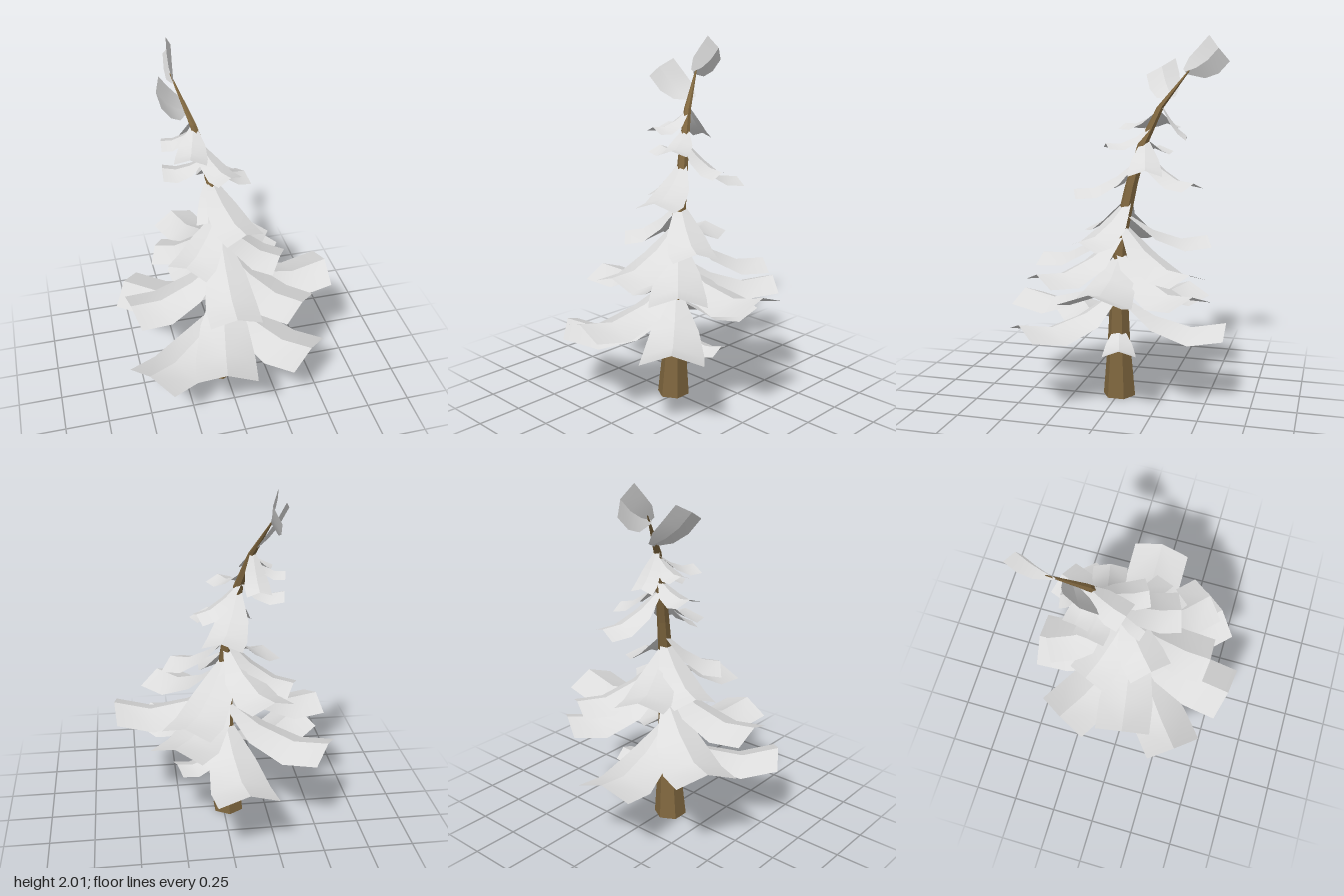
import * as THREE from 'three';

// Trunk rings: x, y, z, radius
const RINGS = [
  [-0.03, 0, -0.005, 0.092], [-0.02, 0.3, -0.005, 0.066], [-0.01, 0.6, -0.008, 0.05], [-0.01, 0.95, -0.02, 0.04],
  [-0.035, 1.2, -0.07, 0.034], [-0.065, 1.42, -0.125, 0.028], [-0.12, 1.62, -0.21, 0.02], [-0.2, 1.84, -0.37, 0.003],
];

// Centre of the trunk at a height
function trunkAt(y) {
  let i = 0;
  while (i < RINGS.length - 2 && RINGS[i + 1][1] < y) i++;
  const a = new THREE.Vector3(...RINGS[i]), b = new THREE.Vector3(...RINGS[i + 1]);
  return a.lerp(b, (y - a.y) / (b.y - a.y));
}

// Six-sided bent trunk, open at the foot
function trunkGeometry() {
  const geo = new THREE.CylinderGeometry(1, 1, 1, 6, RINGS.length - 1, true);
  const p = geo.attributes.position;
  for (let i = 0; i < p.count; i++) {
    const k = Math.round((p.getY(i) + 0.5) * (RINGS.length - 1));
    const [x, y, z, r] = RINGS[k];
    p.setXYZ(i, x + p.getX(i) * r, y, z + p.getZ(i) * r);
  }
  const flat = geo.toNonIndexed();
  flat.computeVertexNormals();
  return flat;
}

// Bough: two curved strips meeting in a sharp ridge, widening from the trunk
function boughGeometry(base, tip, half, side, drop) {
  const out = tip.clone().sub(base);
  const len = Math.hypot(out.x, out.z);
  side = side || new THREE.Vector3(-out.z, 0, out.x).divideScalar(len);
  drop = drop || new THREE.Vector3(0, -0.38 * half, 0).addScaledVector(out, -0.02);
  const steps = [[0, 0.2, 0], [0.34, 0.8, 0.9], [0.68, 1, 1], [1, 1, 0]];
  const pos = [], index = [];
  for (const s of [1, -1]) {
    const first = pos.length / 3;
    for (const [t, w, sag] of steps) {
      const ridge = base.clone().lerp(tip, t);
      ridge.y -= sag * 0.13 * len;
      const edge = ridge.clone().addScaledVector(side, s * w * half).addScaledVector(drop, w);
      pos.push(...ridge.toArray(), ...edge.toArray());
    }
    for (let i = 0; i < steps.length - 1; i++) {
      const a = first + i * 2;
      if (s > 0) index.push(a, a + 2, a + 1, a + 1, a + 2, a + 3);
      else index.push(a, a + 1, a + 2, a + 1, a + 3, a + 2);
    }
  }
  const geo = new THREE.BufferGeometry();
  geo.setAttribute('position', new THREE.Float32BufferAttribute(pos, 3));
  geo.setIndex(index);
  geo.computeVertexNormals();
  return geo;
}

// Height at the trunk, tip x, y, z and half width
const LOWER = [
  [0.41, 0.27, 0.35, -0.08, 0.09],
  [0.52, -0.51, 0.43, 0.375, 0.165],
  [0.62, 0.39, 0.49, 0.435, 0.165],
  [0.59, -0.07, 0.45, -0.6, 0.165],
  [0.71, -0.13, 0.56, 0.595, 0.165],
  [0.72, -0.54, 0.56, -0.31, 0.165],
  [0.82, 0.605, 0.735, -0.015, 0.165],
  [0.84, 0.305, 0.68, -0.475, 0.155],
];
const MIDDLE = [
  [0.86, -0.55, 0.685, 0.07, 0.155],
  [0.94, 0.35, 0.76, 0.345, 0.15],
  [0.99, 0.25, 0.78, -0.45, 0.14],
  [1.02, -0.04, 0.8, 0.445, 0.14],
  [1.05, -0.21, 0.91, -0.465, 0.13],
  [1.08, -0.36, 0.88, -0.19, 0.12],
  [1.12, 0.28, 0.93, 0.135, 0.125],
  [1.13, -0.25, 0.96, 0.155, 0.125],
];
const UPPER = [
  [1.34, 0.06, 1.18, 0.23, 0.115],
  [1.36, -0.11, 1.18, 0.08, 0.06],
  [1.4, 0.06, 1.23, -0.43, 0.105],
  [1.45, 0.16, 1.3, -0.19, 0.09],
  [1.45, -0.3, 1.4, -0.17, 0.085],
  [1.52, 0.02, 1.43, 0.06, 0.08],
  [1.61, -0.18, 1.53, 0.0, 0.085],
  [1.63, -0.14, 1.465, -0.355, 0.065],
  [1.6, -0.29, 1.53, -0.23, 0.07],
];

export function createModel() {
  const bark = new THREE.MeshStandardMaterial({ color: 0x80673f, side: THREE.DoubleSide });
  bark.name = 'bark brown';
  const snow = new THREE.MeshStandardMaterial({ color: 0xdcdcdc, side: THREE.DoubleSide });
  snow.name = 'snow grey';

  const tree = new THREE.Group();
  tree.name = 'tree';
  const add = (name, geo, mat, parent) => {
    const mesh = new THREE.Mesh(geo, mat);
    mesh.name = name;
    parent.add(mesh);
  };
  add('trunk', trunkGeometry(), bark, tree);

  for (const [name, rows] of Object.entries({ lowerBoughs: LOWER, middleBoughs: MIDDLE, upperBoughs: UPPER })) {
    const tier = new THREE.Group();
    tier.name = name;
    for (const [y, tx, ty, tz, half] of rows) {
      add('bough', boughGeometry(trunkAt(y), new THREE.Vector3(tx, ty, tz), half), snow, tier);
    }
    tree.add(tier);
  }

  // Twisted leaves at the tip
  const v = (x, y, z) => new THREE.Vector3(x, y, z);
  add('sideTipLeaf', boughGeometry(v(-0.14, 1.67, -0.275), v(-0.31, 1.84, -0.175), 0.1,
    v(0.1, 0.45, -0.85), v(0.02, 0, 0)), snow, tree);
  add('topLeaf', boughGeometry(v(-0.19, 1.81, -0.33), v(-0.165, 1.935, -0.515), 0.09,
    v(0, -0.78, -0.63), v(-0.035, 0, 0)), snow, tree);
  return tree;
}
